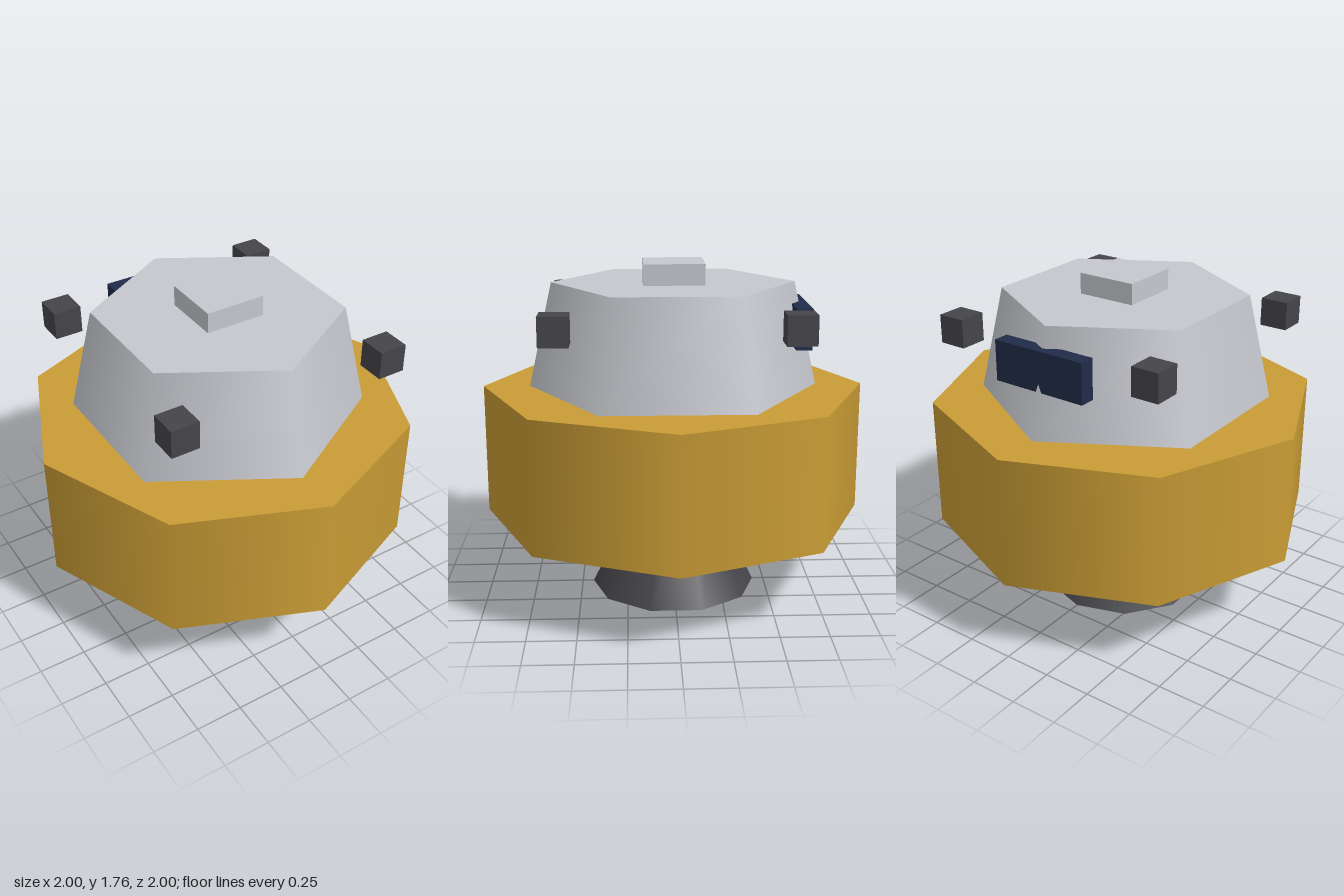
import * as THREE from 'three';

export function createModel() {
  const model = new THREE.Group();
  model.name = 'spacecraft';

  const material = (name, color, side = THREE.FrontSide) => {
    const m = new THREE.MeshStandardMaterial({ color, side });
    m.name = name;
    return m;
  };
  const gold = material('gold foil', 0xc99c35);
  const grey = material('light grey hull', 0xc6c8ce);
  const dark = material('dark metal', 0x454449, THREE.DoubleSide);
  const navy = material('navy glass', 0x202c49);

  const add = (name, geometry, mat, x, y, z) => {
    const mesh = new THREE.Mesh(geometry, mat);
    mesh.name = name;
    mesh.position.set(x, y, z);
    model.add(mesh);
  };

  // Open ten-sided engine bell
  add('engineBell', new THREE.CylinderGeometry(0.23, 0.44, 0.425, 10, 1, true), dark, 0, 0.2125, 0);

  // Eight-sided descent stage
  add('descentStage', new THREE.CylinderGeometry(1, 1, 0.685, 8), gold, 0, 0.7675, 0);

  // Tapered six-sided cabin with docking hatch
  add('cabin', new THREE.CylinderGeometry(0.632, 0.757, 0.547, 6), grey, 0, 1.3835, 0);
  add('dockingHatch', new THREE.BoxGeometry(0.316, 0.108, 0.316), grey, 0, 1.711, 0);

  // Window block, pierced by the rear corner of the cabin
  add('window', new THREE.BoxGeometry(0.52, 0.21, 0.083), navy, 0, 1.446, -0.653);

  // Thruster blocks at the four corners
  for (const x of [-1, 1]) {
    for (const z of [-1, 1]) {
      const name = (z > 0 ? 'front' : 'back') + (x > 0 ? 'Left' : 'Right') + 'Thruster';
      add(name, new THREE.BoxGeometry(0.147, 0.147, 0.147), dark, x * 0.583, 1.51, z * 0.583);
    }
  }

  return model;
}
